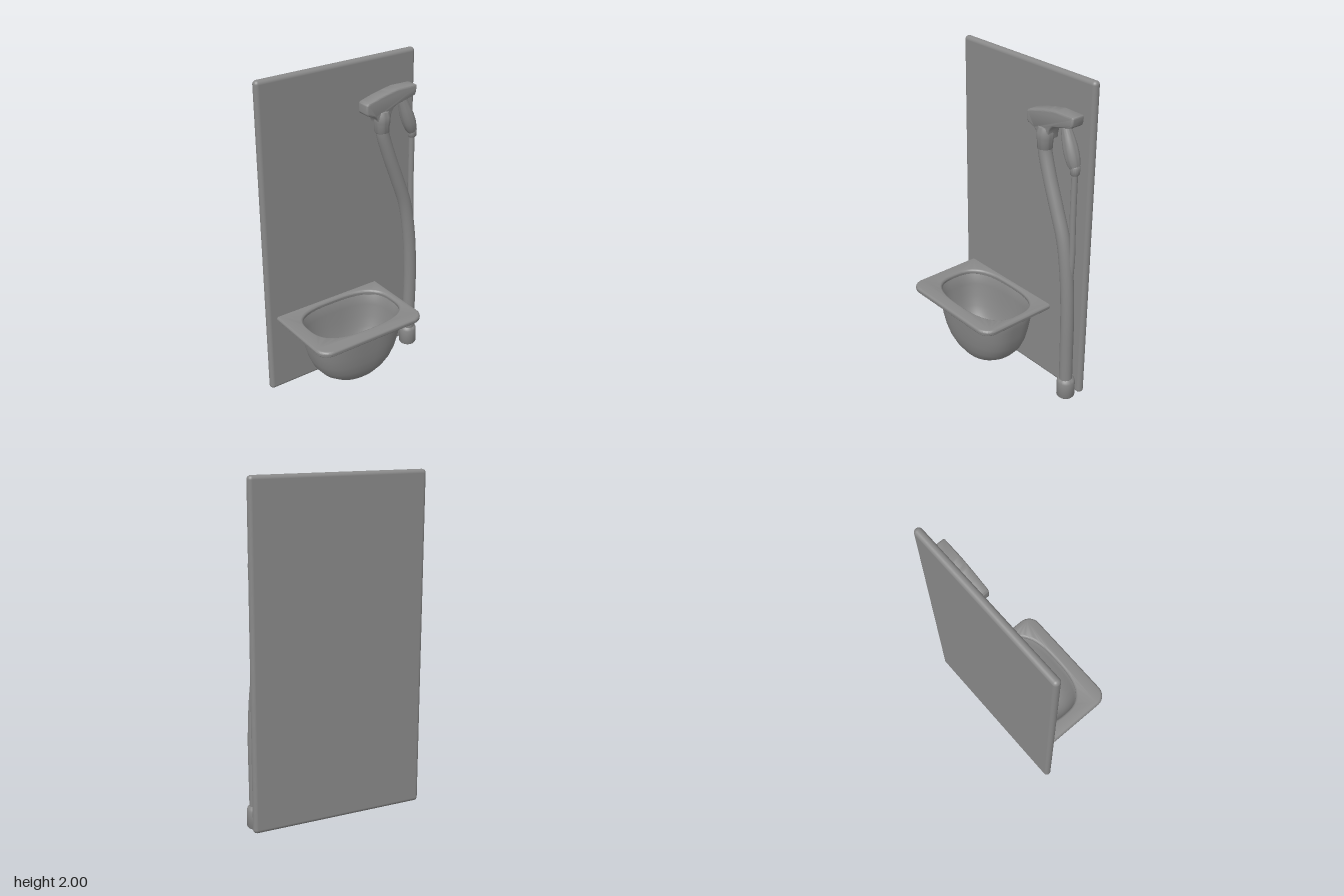
import * as THREE from 'three';
import { toCreasedNormals } from 'three/addons/utils/BufferGeometryUtils.js';
import { RoundedBoxGeometry } from 'three/addons/geometries/RoundedBoxGeometry.js';

const V3 = (x, y, z) => new THREE.Vector3(x, y, z);
const V2 = (x, y) => new THREE.Vector2(x, y);
const BASIN_X = -0.087, BASIN_Z = -0.007;

// Rounded-rectangle outline (superellipse) point
function superPoint(t, a, b, n) {
  const f = (v) => Math.sign(v) * Math.pow(Math.abs(v), 2 / n);
  return [a * f(Math.cos(t)), b * f(Math.sin(t))];
}

// Skin rings of [y, halfWidth, halfDepth, exponent] into one smooth surface
function loftRings(rings, segs) {
  const pos = [], idx = [];
  for (const [y, a, b, n] of rings) {
    for (let j = 0; j < segs; j++) {
      const [x, z] = superPoint((j / segs) * Math.PI * 2, a, b, n);
      pos.push(x, y, z);
    }
  }
  for (let i = 0; i < rings.length - 1; i++) {
    for (let j = 0; j < segs; j++) {
      const k = (j + 1) % segs;
      const a = i * segs + j, b = i * segs + k, c = a + segs, d = b + segs;
      idx.push(a, b, c, b, d, c);
    }
  }
  const g = new THREE.BufferGeometry();
  g.setAttribute('position', new THREE.Float32BufferAttribute(pos, 3));
  g.setIndex(idx);
  g.computeVertexNormals();
  return g;
}

// Lathe from [radius, y] pairs listed upwards
function lathe(pairs) {
  const g = new THREE.LatheGeometry(pairs.map(([r, y]) => V2(r, y)), 32);
  return toCreasedNormals(g, 0.7);
}

export function createModel() {
  const group = new THREE.Group();
  const grey = new THREE.MeshStandardMaterial({ color: 0x888888 });
  grey.name = 'grey';
  const add = (name, geometry, x = 0, y = 0, z = 0) => {
    const m = new THREE.Mesh(geometry, grey);
    m.name = name;
    m.position.set(x, y, z);
    group.add(m);
    return m;
  };

  // Wall panel with rounded edges
  add('backPanel', new RoundedBoxGeometry(1.075, 1.995, 0.048, 5, 0.023), 0, 1.0025, -0.252);

  // Basin rim: flat plate with rounded front corners and an oval opening
  const rim = new THREE.Shape();
  const l = -0.478, r = 0.26, back = 0.24, front = -0.272, c = 0.08;
  rim.moveTo(l, back);
  rim.lineTo(l, front + c);
  rim.absarc(l + c, front + c, c, Math.PI, Math.PI * 1.5, false);
  rim.absarc(r - c, front + c, c, Math.PI * 1.5, Math.PI * 2, false);
  rim.lineTo(r, back);
  rim.closePath();
  const hole = [];
  for (let i = 0; i < 72; i++) {
    const [x, z] = superPoint((-i / 72) * Math.PI * 2, 0.301, 0.194, 2.8);
    hole.push(V2(BASIN_X + x, -BASIN_Z + z));
  }
  rim.holes.push(new THREE.Path(hole));
  const rimGeo = new THREE.ExtrudeGeometry(rim, {
    depth: 0.006, bevelEnabled: true, bevelThickness: 0.016, bevelSize: 0.016,
    bevelOffset: -0.016, bevelSegments: 5, curveSegments: 14,
  });
  rimGeo.rotateX(-Math.PI / 2);
  add('basinRim', toCreasedNormals(rimGeo, 0.6), 0, 0.497, 0);

  // Basin bowl: outer profile, repeated inside with a wall thickness
  const outer = [
    [0.49, 0.318, 0.213, 2.8], [0.42, 0.308, 0.207, 2.8], [0.34, 0.295, 0.198, 2.7],
    [0.27, 0.278, 0.188, 2.6], [0.21, 0.252, 0.173, 2.5], [0.165, 0.215, 0.155, 2.4],
    [0.13, 0.165, 0.132, 2.3], [0.108, 0.105, 0.1, 2.2], [0.098, 0.055, 0.06, 2],
    [0.095, 0.0005, 0.0005, 2],
  ];
  const inner = outer.map(([y, a, b, n], i) => [
    y + 0.016 * (i / 9), Math.max(a - 0.016, 0.0005), Math.max(b - 0.016, 0.0005), n,
  ]).reverse();
  add('basinBowl', loftRings([...inner, ...outer], 72), BASIN_X, 0, BASIN_Z);

  // Main hose
  const hosePath = new THREE.CatmullRomCurve3([
    V3(0.245, 1.62, -0.16), V3(0.252, 1.55, -0.16), V3(0.295, 1.41, -0.158),
    V3(0.362, 1.23, -0.157), V3(0.425, 1.05, -0.157), V3(0.463, 0.82, -0.157),
    V3(0.48, 0.55, -0.158), V3(0.481, 0.3, -0.162), V3(0.481, 0.08, -0.166),
  ]);
  add('hose', new THREE.TubeGeometry(hosePath, 80, 0.04, 24));

  // Hollow collar at the foot of the hose
  add('hoseFootCollar', lathe([
    [0, 0.06], [0.042, 0.06], [0.042, 0.006], [0.05, 0.005], [0.055, 0.012],
    [0.055, 0.108], [0.051, 0.122], [0.038, 0.135],
  ]), 0.482, 0, -0.168);

  // Collar joining the hose to the head
  add('hoseTopCollar', lathe([
    [0.036, 1.555], [0.043, 1.565], [0.045, 1.61], [0.049, 1.625], [0.05, 1.66],
    [0.04, 1.69], [0, 1.7],
  ]), 0.248, 0, -0.162);

  // Shower head, outlined from the side
  const head = new THREE.Shape();
  head.moveTo(0.12, 1.745);
  head.lineTo(0.12, 1.705);
  head.quadraticCurveTo(0.12, 1.69, 0.135, 1.685);
  head.lineTo(0.175, 1.67);
  head.quadraticCurveTo(0.2, 1.66, 0.205, 1.625);
  head.lineTo(0.29, 1.625);
  head.quadraticCurveTo(0.295, 1.705, 0.34, 1.715);
  head.lineTo(0.46, 1.745);
  head.quadraticCurveTo(0.475, 1.75, 0.478, 1.77);
  head.lineTo(0.482, 1.8);
  head.quadraticCurveTo(0.482, 1.81, 0.47, 1.81);
  head.lineTo(0.35, 1.812);
  head.quadraticCurveTo(0.26, 1.8, 0.15, 1.767);
  head.quadraticCurveTo(0.12, 1.76, 0.12, 1.745);
  const headGeo = new THREE.ExtrudeGeometry(head, {
    depth: 0.064, bevelEnabled: true, bevelThickness: 0.012, bevelSize: 0.012,
    bevelOffset: -0.012, bevelSegments: 4, curveSegments: 8,
  });
  add('showerHead', toCreasedNormals(headGeo, 0.7), 0, 0, -0.21);

  // Bulging grip leaning in under the head
  const from = V3(0.477, 1.51, -0.17), to = V3(0.385, 1.76, -0.17);
  const grip = add('grip', lathe([
    [0, -0.01], [0.026, 0], [0.037, 0.03], [0.042, 0.07], [0.042, 0.12],
    [0.037, 0.17], [0.03, 0.22], [0.024, 0.267],
  ]), from.x, from.y, from.z);
  grip.quaternion.setFromUnitVectors(V3(0, 1, 0), to.clone().sub(from).normalize());
  add('gripCollar', lathe([
    [0, 1.475], [0.02, 1.476], [0.027, 1.485], [0.029, 1.525], [0.022, 1.535],
  ]), 0.478, 0, -0.17);

  // Thin feed pipe running from the grip down into the hose
  const pipePath = new THREE.CatmullRomCurve3([
    V3(0.477, 1.5, -0.17), V3(0.478, 1.2, -0.17), V3(0.484, 0.95, -0.17), V3(0.476, 0.76, -0.165),
  ]);
  add('feedPipe', new THREE.TubeGeometry(pipePath, 40, 0.018, 16));

  return group;
}
